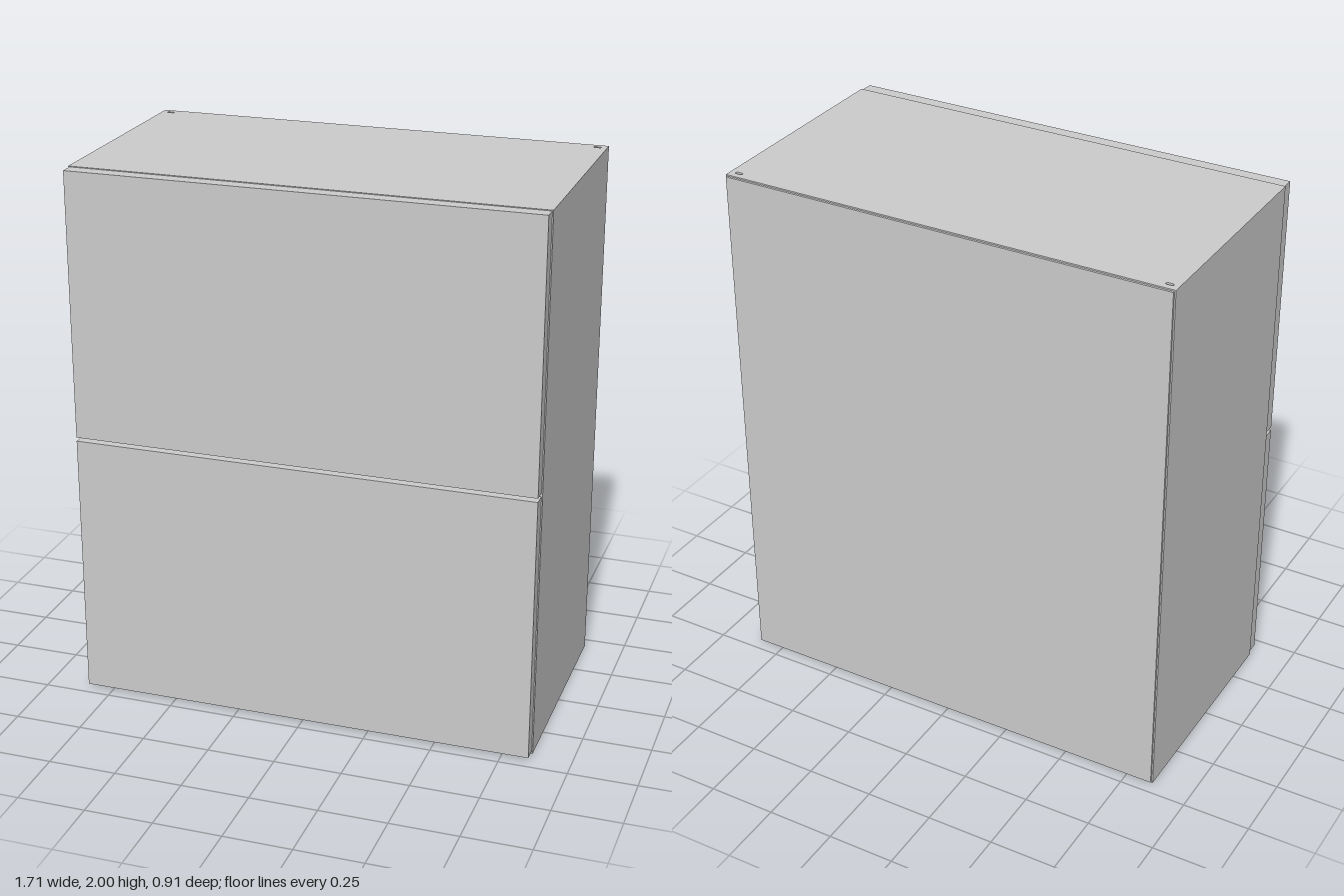
import * as THREE from 'three';

const W = 1.706, H = 2, BACK = -0.457, FRONT = 0.457;
const CASE_BACK = -0.449, CASE_FRONT = 0.407, T = 0.012;

export function createModel() {
  const cabinet = new THREE.Group();
  cabinet.name = 'cabinet';
  const material = new THREE.MeshStandardMaterial({ color: 0xcccccc });

  const add = (name, geometry) => {
    const mesh = new THREE.Mesh(geometry, material);
    mesh.name = name;
    cabinet.add(mesh);
    return mesh;
  };
  // Box given by its minimum and maximum corners
  const box = (name, [x0, y0, z0], [x1, y1, z1]) =>
    add(name, new THREE.BoxGeometry(x1 - x0, y1 - y0, z1 - z0))
      .position.set((x0 + x1) / 2, (y0 + y1) / 2, (z0 + z1) / 2);

  // Side panels
  for (const [name, s] of [['leftSide', 1], ['rightSide', -1]]) {
    const a = s * W / 2, b = s * (W / 2 - T);
    box(name, [Math.min(a, b), T, CASE_BACK], [Math.max(a, b), H - T, CASE_FRONT]);
  }

  // Top and bottom panels with a mounting slot in each rear corner
  const plate = new THREE.Shape([
    new THREE.Vector2(-W / 2, -CASE_FRONT), new THREE.Vector2(W / 2, -CASE_FRONT),
    new THREE.Vector2(W / 2, -CASE_BACK), new THREE.Vector2(-W / 2, -CASE_BACK),
  ]);
  for (const s of [-1, 1]) {
    const slot = new THREE.Path(), r = 0.006, half = 0.008, x = s * 0.818, y = 0.42;
    slot.absarc(x + half, y, r, Math.PI / 2, -Math.PI / 2, true);
    slot.absarc(x - half, y, r, -Math.PI / 2, -Math.PI * 1.5, true);
    slot.closePath();
    plate.holes.push(slot);
  }
  const plateGeometry = new THREE.ExtrudeGeometry(plate, { depth: T, bevelEnabled: false, curveSegments: 8 });
  plateGeometry.rotateX(-Math.PI / 2);
  add('bottomPanel', plateGeometry);
  add('topPanel', plateGeometry).position.y = H - T;

  // Back panel, slightly inset from the case outline
  box('backPanel', [-0.848, 0.005, BACK], [0.848, H - 0.005, CASE_BACK]);

  // Middle shelf behind the gap between the fronts
  box('middleShelf', [-W / 2 + T, 0.985, -0.4], [W / 2 - T, 1.022, CASE_FRONT]);

  // Two flat fronts
  box('lowerFront', [-0.849, 0.009, CASE_FRONT], [0.849, 0.997, FRONT]);
  box('upperFront', [-0.849, 1.011, CASE_FRONT], [0.849, 1.997, FRONT]);

  return cabinet;
}
